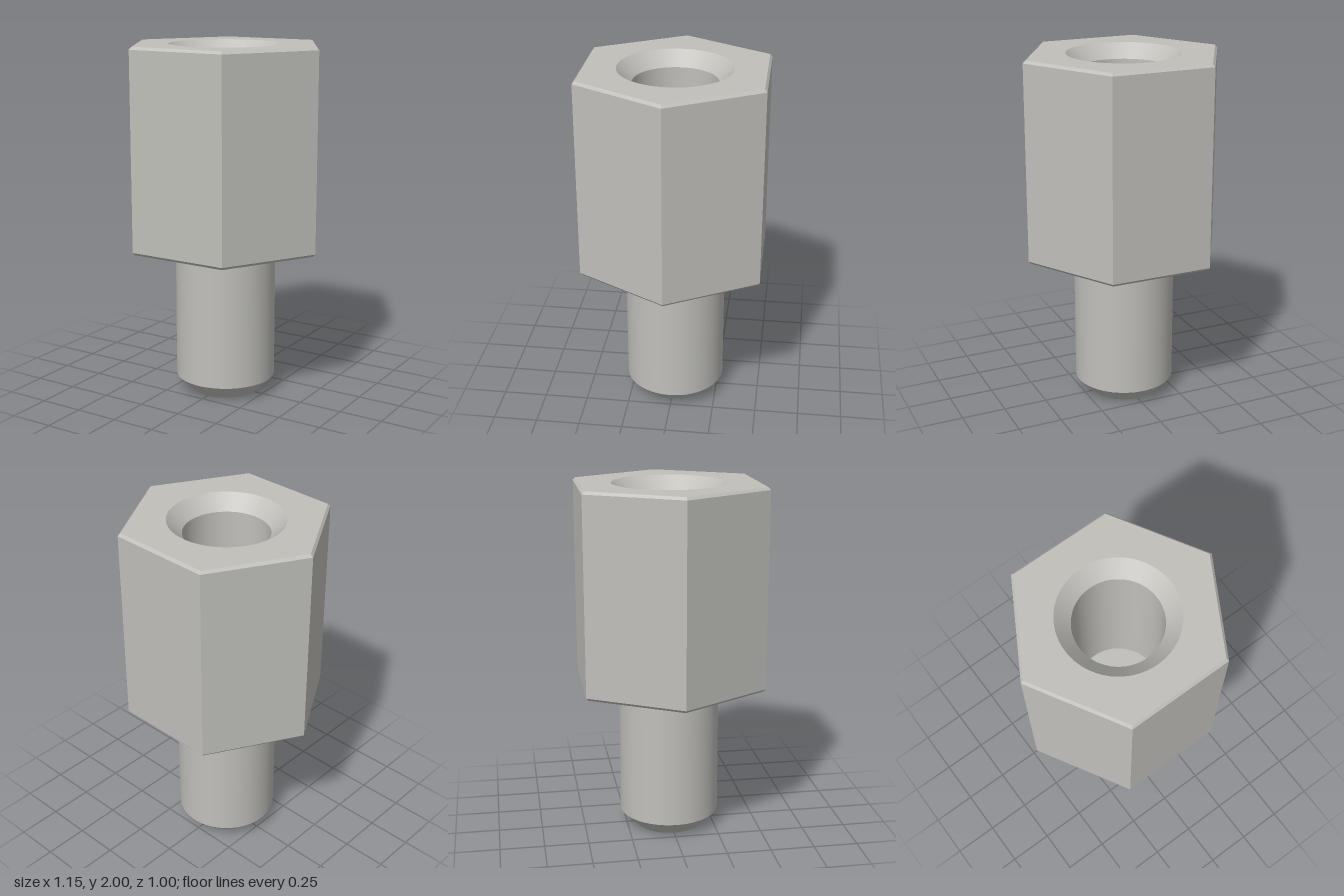
import * as THREE from 'three';
import { mergeGeometries } from 'three/addons/utils/BufferGeometryUtils.js';

const APOTHEM = 0.5, CORNER = APOTHEM / Math.cos(Math.PI / 6);
const BEVEL = 0.015, BODY_BOTTOM = 0.865, TOP = 2;

// Revolve each profile segment separately so edges between segments stay sharp.
function revolve(profile, sides, start = 0) {
  const pts = profile.map(([r, y]) => new THREE.Vector2(r, y));
  const bands = [];
  for (let i = 0; i < pts.length - 1; i++) {
    bands.push(new THREE.LatheGeometry([pts[i], pts[i + 1]], sides, start));
  }
  return mergeGeometries(bands);
}

export function createModel() {
  const group = new THREE.Group();
  group.name = 'hexStandoff';
  const steel = new THREE.MeshStandardMaterial({ color: 0xc0bfba });
  steel.name = 'steel';

  const add = (name, geometry) => {
    const mesh = new THREE.Mesh(geometry, steel);
    mesh.name = name;
    group.add(mesh);
  };

  // Hexagonal body: underside, lower bevel, flats, upper bevel
  const inner = CORNER - BEVEL;
  const body = revolve([
    [0, BODY_BOTTOM], [inner, BODY_BOTTOM], [CORNER, BODY_BOTTOM + BEVEL],
    [CORNER, TOP - BEVEL], [inner, TOP],
  ], 6, Math.PI / 6).toNonIndexed();
  body.computeVertexNormals();
  add('hexBody', body);

  // Top face with a round opening
  const hex = new THREE.Shape(Array.from({ length: 6 }, (_, i) => {
    const a = i * Math.PI / 3;
    return new THREE.Vector2(inner * Math.cos(a), inner * Math.sin(a));
  }));
  hex.holes.push(new THREE.Path().absarc(0, 0, 0.315, 0, Math.PI * 2, true));
  add('topFace', new THREE.ShapeGeometry(hex, 32).rotateX(-Math.PI / 2).translate(0, TOP, 0));

  // Countersunk blind hole, profile runs downwards so it faces inwards
  add('countersunkHole', revolve([[0.315, TOP], [0.234, 1.92], [0.234, 1.0], [0, 1.0]], 64));

  // Round stud with chamfered tip
  add('stud', revolve([[0, 0], [0.195, 0], [0.285, 0.09], [0.285, BODY_BOTTOM]], 64));

  return group;
}
